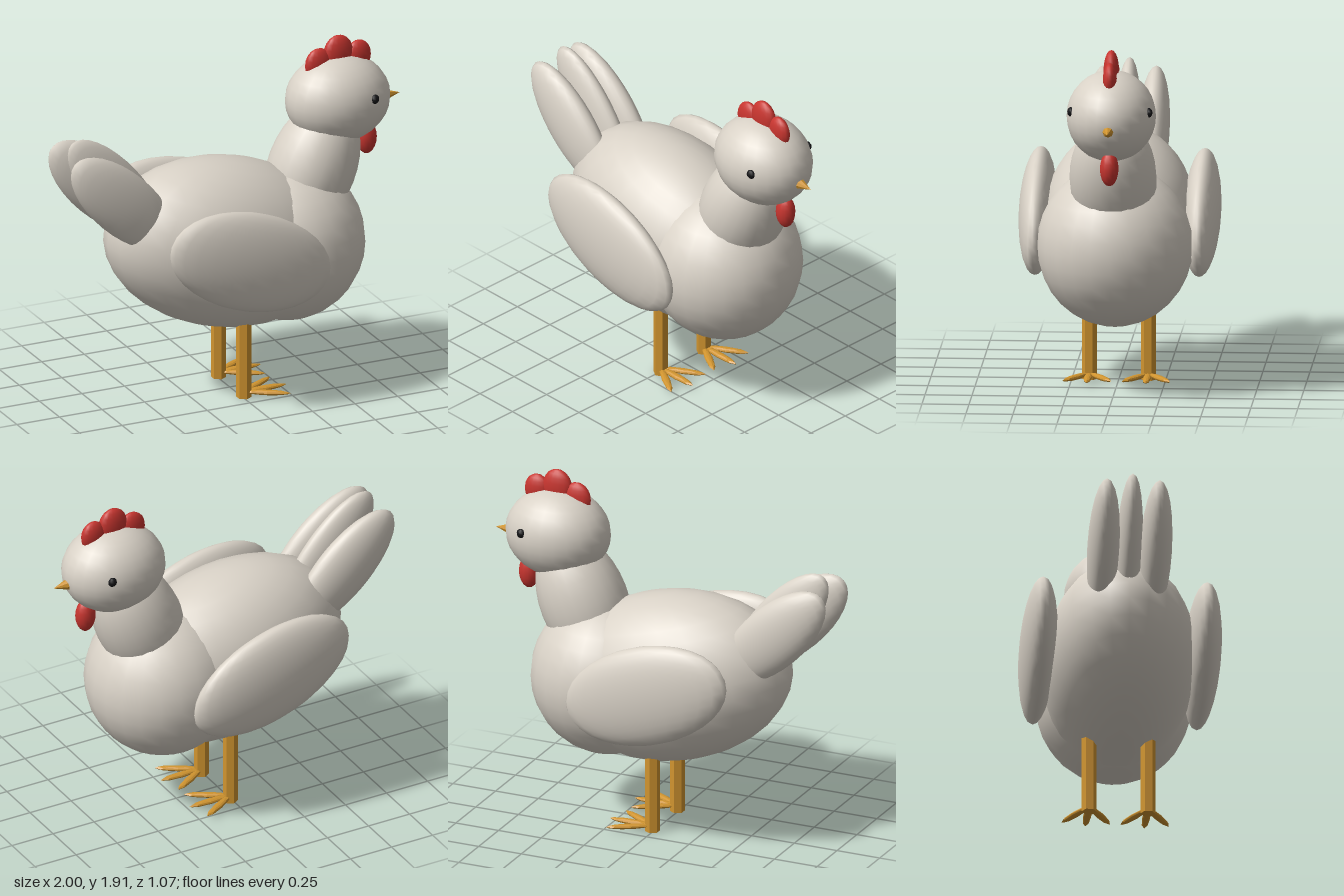
import * as THREE from 'three';

const paint = (name, color, flat = false) => {
  const m = new THREE.MeshStandardMaterial({ color, flatShading: flat });
  m.name = name;
  return m;
};

export function createModel() {
  const hen = new THREE.Group();
  hen.name = 'hen';

  const feather = paint('cream feather', 0xd8d1c6);
  const red = paint('comb red', 0xc8352f);
  const orange = paint('leg orange', 0xd0942f, true);
  const black = paint('eye black', 0x141416);

  const ball = new THREE.SphereGeometry(1, 24, 16);
  const smallBall = new THREE.SphereGeometry(1, 14, 10);
  const tinyBall = new THREE.SphereGeometry(1, 8, 6);
  const legShape = new THREE.CylinderGeometry(0.04, 0.04, 0.5, 6);

  const add = (name, geometry, material, pos) => {
    const mesh = new THREE.Mesh(geometry, material);
    mesh.name = name;
    mesh.position.set(...pos);
    hen.add(mesh);
    return mesh;
  };
  // Ellipsoid with half sizes and a tilt about z, in degrees
  const egg = (name, material, pos, half, tilt = 0, geometry = ball) => {
    const mesh = add(name, geometry, material, pos);
    mesh.scale.set(...half);
    mesh.rotation.z = THREE.MathUtils.degToRad(tilt);
    return mesh;
  };

  // Trunk, neck and head; the hen faces +x
  egg('body', feather, [-0.035, 0.845, 0], [0.695, 0.465, 0.41], -14.5);
  egg('breast', feather, [0.333, 0.79, 0], [0.422, 0.434, 0.415]);
  egg('neck', feather, [0.482, 1.18, 0], [0.237, 0.385, 0.232], -23);
  egg('head', feather, [0.633, 1.55, 0], [0.29, 0.243, 0.238]);

  // Comb and wattle
  egg('combBack', red, [0.522, 1.757, 0], [0.08, 0.092, 0.037], 0, smallBall);
  egg('combMiddle', red, [0.637, 1.8, 0], [0.087, 0.106, 0.041], 0, smallBall);
  egg('combFront', red, [0.755, 1.773, 0], [0.073, 0.086, 0.037], 0, smallBall);
  egg('wattle', red, [0.803, 1.297, 0], [0.056, 0.094, 0.05], 0, smallBall);

  // Beak
  const beak = add('beak', new THREE.ConeGeometry(0.045, 0.13, 8), orange, [0.933, 1.517, 0]);
  beak.rotation.z = -Math.PI / 2;

  // Tail
  egg('tailFeatherMiddle', feather, [-0.67, 1.245, 0], [0.4, 0.15, 0.07], -50);

  // Paired parts
  for (const side of [1, -1]) {
    egg('eye', black, [0.754, 1.593, side * 0.207], [0.026, 0.026, 0.02], 0, tinyBall);
    egg('wing', feather, [-0.085, 0.89, side * 0.437], [0.49, 0.273, 0.099], -19.5);
    egg('tailFeatherOuter', feather, [-0.695, 1.22, side * 0.14], [0.39, 0.168, 0.085], -44);
    add('leg', legShape, orange, [0.008, 0.25, side * 0.157]);

    // Three toes fanned out forward
    for (const angle of [-31, 0, 31]) {
      const a = THREE.MathUtils.degToRad(angle);
      const toe = egg('toe', orange,
        [0.008 + Math.cos(a) * 0.125, 0.03, side * 0.157 + Math.sin(a) * 0.125],
        [0.125, 0.014, 0.022], 0, tinyBall);
      toe.rotation.y = -a;
    }
  }
  return hen;
}
